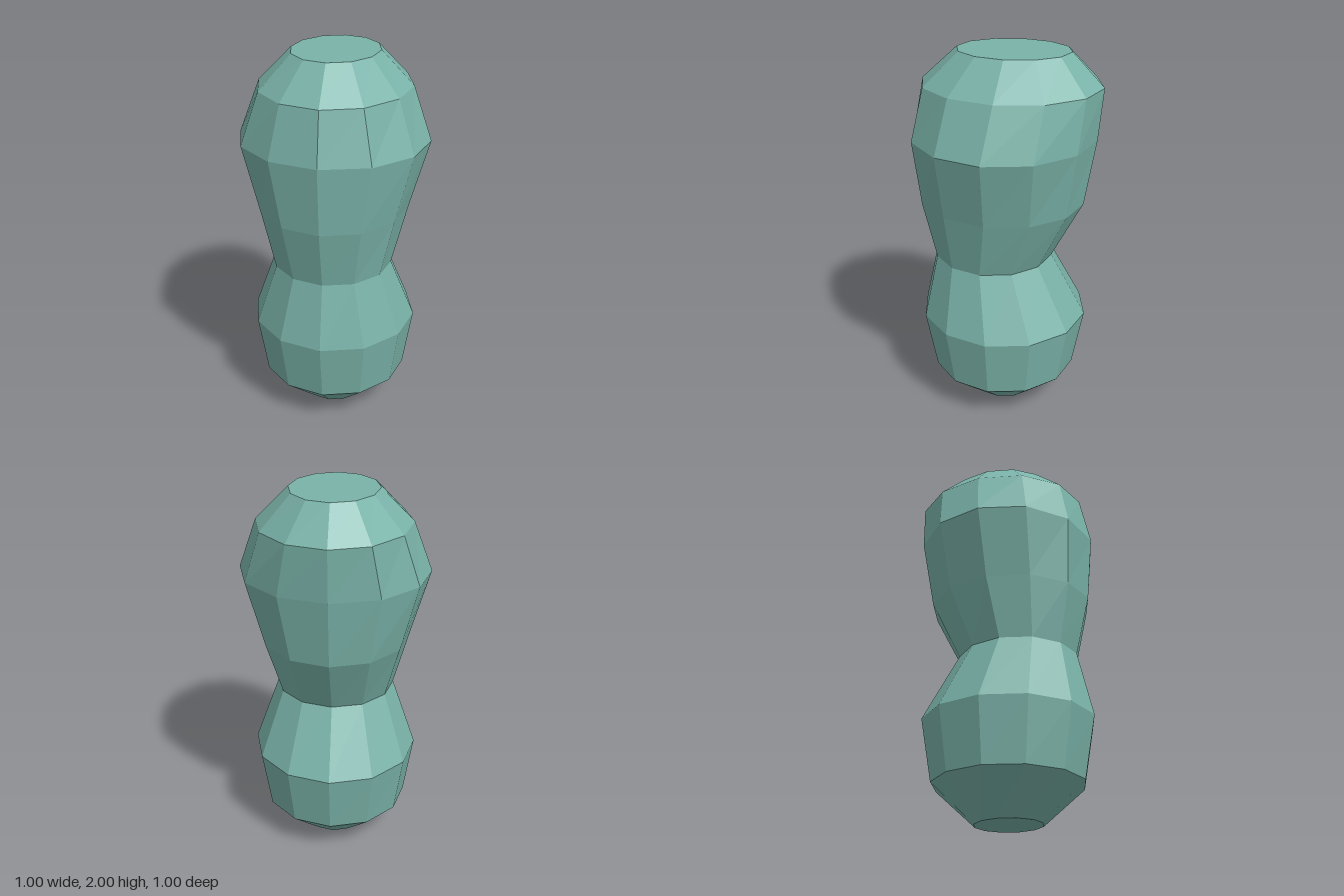
import * as THREE from 'three';

// Cross-sections from bottom to top: height, half width, front z, back z
const RINGS = [
  [0.00, 0.17, 0.19, -0.17],
  [0.20, 0.40, 0.41, -0.39],
  [0.53, 0.45, 0.47, -0.45],
  [0.88, 0.32, 0.39, -0.255],
  [1.20, 0.40, 0.465, -0.42],
  [1.56, 0.50, 0.497, -0.477],
  [1.83, 0.40, 0.44, -0.50],
  [2.00, 0.23, 0.253, -0.335],
];

export function createModel() {
  const group = new THREE.Group();
  group.name = 'pinchedBody';

  const sage = new THREE.MeshStandardMaterial({ color: 0x7ab3a9, flatShading: true });
  sage.name = 'sageGreen';

  // A twelve-sided unit column with one row of vertices per cross-section
  const rows = RINGS.length - 1;
  const geometry = new THREE.CylinderGeometry(1, 1, rows, 12, rows);
  const pos = geometry.attributes.position;
  for (let i = 0; i < pos.count; i++) {
    const [y, halfWidth, front, back] = RINGS[Math.round(pos.getY(i) + rows / 2)];
    const z = (front + back) / 2 + pos.getZ(i) * (front - back) / 2;
    pos.setXYZ(i, pos.getX(i) * halfWidth, y, z);
  }

  // Separate the faces so every facet stays flat
  const faceted = geometry.toNonIndexed();
  faceted.clearGroups();
  faceted.computeVertexNormals();

  const body = new THREE.Mesh(faceted, sage);
  body.name = 'body';
  group.add(body);
  return group;
}
